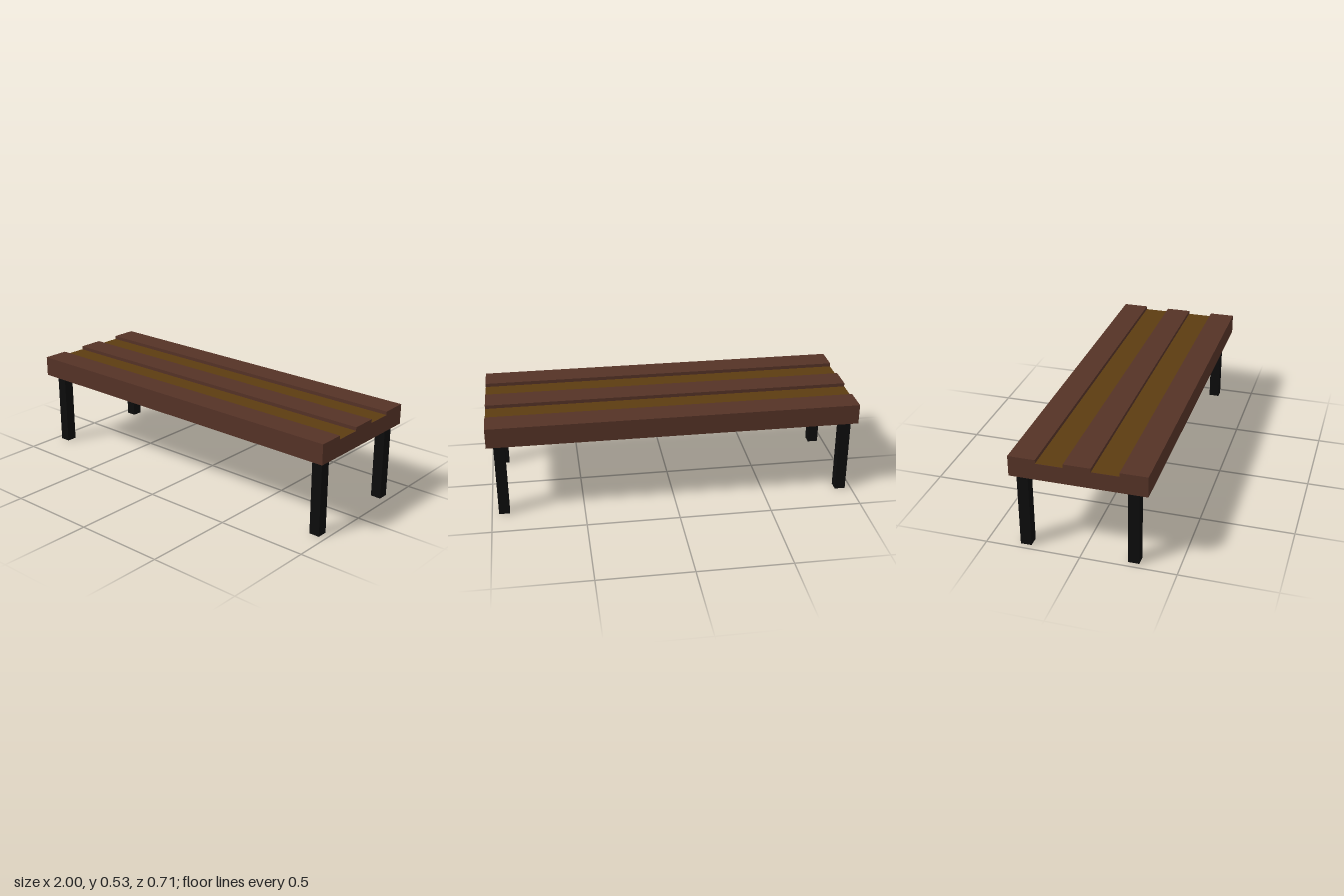
import * as THREE from 'three';

const material = (color) => new THREE.MeshStandardMaterial({ color, flatShading: true });

export function createModel() {
  const group = new THREE.Group();
  group.name = 'bench';
  const brown = material(0x543226);
  const ochre = material(0x5c3c11);
  const black = material(0x0c0c0c);

  const add = (name, geometry, mat, x, y, z) => {
    const mesh = new THREE.Mesh(geometry, mat);
    mesh.name = name;
    mesh.position.set(x, y, z);
    group.add(mesh);
    return mesh;
  };

  // Seat: a slab with two shallow grooves, extruded along x
  const bottom = 0.42, top = 0.53, groove = 0.51;
  const edge = 0.353, outer = 0.211, inner = 0.07;
  const profile = new THREE.Shape([
    [-edge, bottom], [edge, bottom], [edge, top], [outer, top],
    [outer, groove], [inner, groove], [inner, top], [-inner, top],
    [-inner, groove], [-outer, groove], [-outer, top], [-edge, top],
  ].map(([x, y]) => new THREE.Vector2(x, y)));
  const seat = new THREE.ExtrudeGeometry(profile, { depth: 2, bevelEnabled: false });
  seat.translate(0, 0, -1).rotateY(Math.PI / 2);
  add('seat', seat, brown, 0, 0, 0);

  // Lighter strips lining the groove floors
  for (const side of [1, -1]) {
    const strip = new THREE.PlaneGeometry(2, outer - inner).rotateX(-Math.PI / 2);
    add(side > 0 ? 'frontGrooveStrip' : 'backGrooveStrip', strip, ochre,
      0, groove + 0.001, side * (inner + outer) / 2);
  }

  // Four square legs, the back pair set closer to the edge
  for (const [end, z] of [['front', 0.271], ['back', -0.297]]) {
    for (const [side, x] of [['Left', 0.934], ['Right', -0.938]]) {
      add(`${end}${side}Leg`, new THREE.BoxGeometry(0.058, bottom, 0.058), black, x, bottom / 2, z);
    }
  }

  return group;
}
